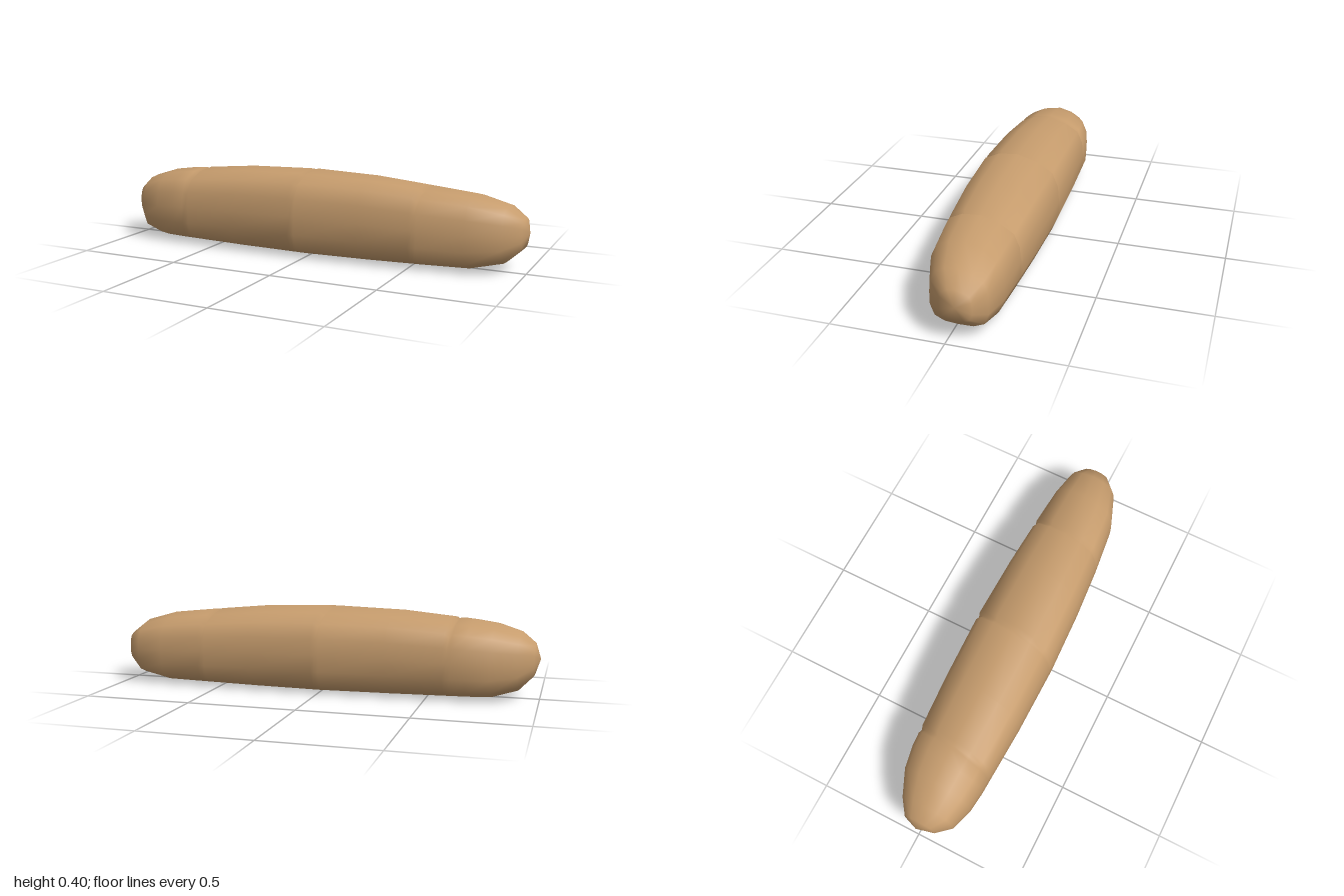
import * as THREE from 'three';

// Cross-section, clockwise from the crown: [z / half width, height fraction]
const SECTION = [
  [0, 1], [0.45, 0.97], [0.79, 0.88], [0.95, 0.71], [1, 0.5], [1, 0.28], [0.85, 0.09], [0.5, 0.013],
  [0, 0], [-0.48, 0.013], [-0.84, 0.09], [-0.99, 0.28], [-1, 0.48], [-0.97, 0.67], [-0.83, 0.835], [-0.48, 0.94],
];

// Loaf outline along its length: [x, bottom, top, half width, z centre]
const OUTLINE = [
  [-0.975, 0.11, 0.255, 0.075, 0.01],
  [-0.91, 0.042, 0.305, 0.13, 0.015],
  [-0.8, 0.011, 0.34, 0.172, 0.004],
  [-0.7, 0.008, 0.354, 0.187, 0],
  [-0.35, 0.003, 0.386, 0.204, 0],
  [0, 0.0, 0.396, 0.211, -0.002],
  [0.3, 0.003, 0.385, 0.201, -0.005],
  [0.55, 0.007, 0.361, 0.185, -0.009],
  [0.77, 0.011, 0.338, 0.165, -0.016],
  [0.91, 0.042, 0.298, 0.126, -0.032],
  [0.98, 0.105, 0.243, 0.07, -0.042],
];
const SLASHES = [-0.62, -0.025, 0.55];

// Outline values at any x
function outlineAt(x) {
  let i = 0;
  while (i < OUTLINE.length - 2 && OUTLINE[i + 1][0] < x) i++;
  const a = OUTLINE[i], b = OUTLINE[i + 1];
  const t = (x - a[0]) / (b[0] - a[0]);
  return a.map((v, k) => v + (b[k] - v) * t);
}

function loafGeometry() {
  // Plain rings, plus three close rings for every slash
  const rings = OUTLINE
    .filter(r => SLASHES.every(s => Math.abs(s - r[0]) > 0.04))
    .map(r => ({ r, cut: 0 }));
  for (const s of SLASHES) {
    for (const [dx, cut] of [[-0.018, 0], [0, 0.014], [0.018, 0]]) {
      rings.push({ r: outlineAt(s + dx), cut });
    }
  }
  rings.sort((a, b) => a.r[0] - b.r[0]);

  const n = SECTION.length;
  const position = [], index = [];
  for (const { r: [x, bottom, top, half, zc], cut } of rings) {
    const slant = 0.13 * Math.max(0, 1 - Math.pow(Math.abs(x), 4));
    for (const [u, v] of SECTION) {
      // Slashes only bite into the upper crust
      const depth = cut * THREE.MathUtils.smoothstep(v, 0.4, 0.8);
      const z = zc + u * (half - depth * 0.6);
      position.push(x - slant * z, bottom + (top - bottom) * v - depth, z);
    }
  }
  for (let i = 0; i < rings.length - 1; i++) {
    for (let j = 0; j < n; j++) {
      const a = i * n + j, b = i * n + (j + 1) % n;
      index.push(a, b, a + n, b, b + n, a + n);
    }
  }

  // Rounded ends close on a single tip
  const left = rings.length * n, right = left + 1, last = left - n;
  position.push(-1, 0.185, 0.005, 1, 0.175, -0.045);
  for (let j = 0; j < n; j++) {
    const k = (j + 1) % n;
    index.push(left, k, j, right, last + j, last + k);
  }

  const geometry = new THREE.BufferGeometry();
  geometry.setAttribute('position', new THREE.Float32BufferAttribute(position, 3));
  geometry.setIndex(index);
  geometry.computeVertexNormals();
  return geometry;
}

export function createModel() {
  const group = new THREE.Group();
  group.name = 'breadLoaf';
  const crust = new THREE.MeshStandardMaterial({ color: 0xc69c6d });
  crust.name = 'crust';
  const loaf = new THREE.Mesh(loafGeometry(), crust);
  loaf.name = 'loaf';
  group.add(loaf);
  return group;
}
